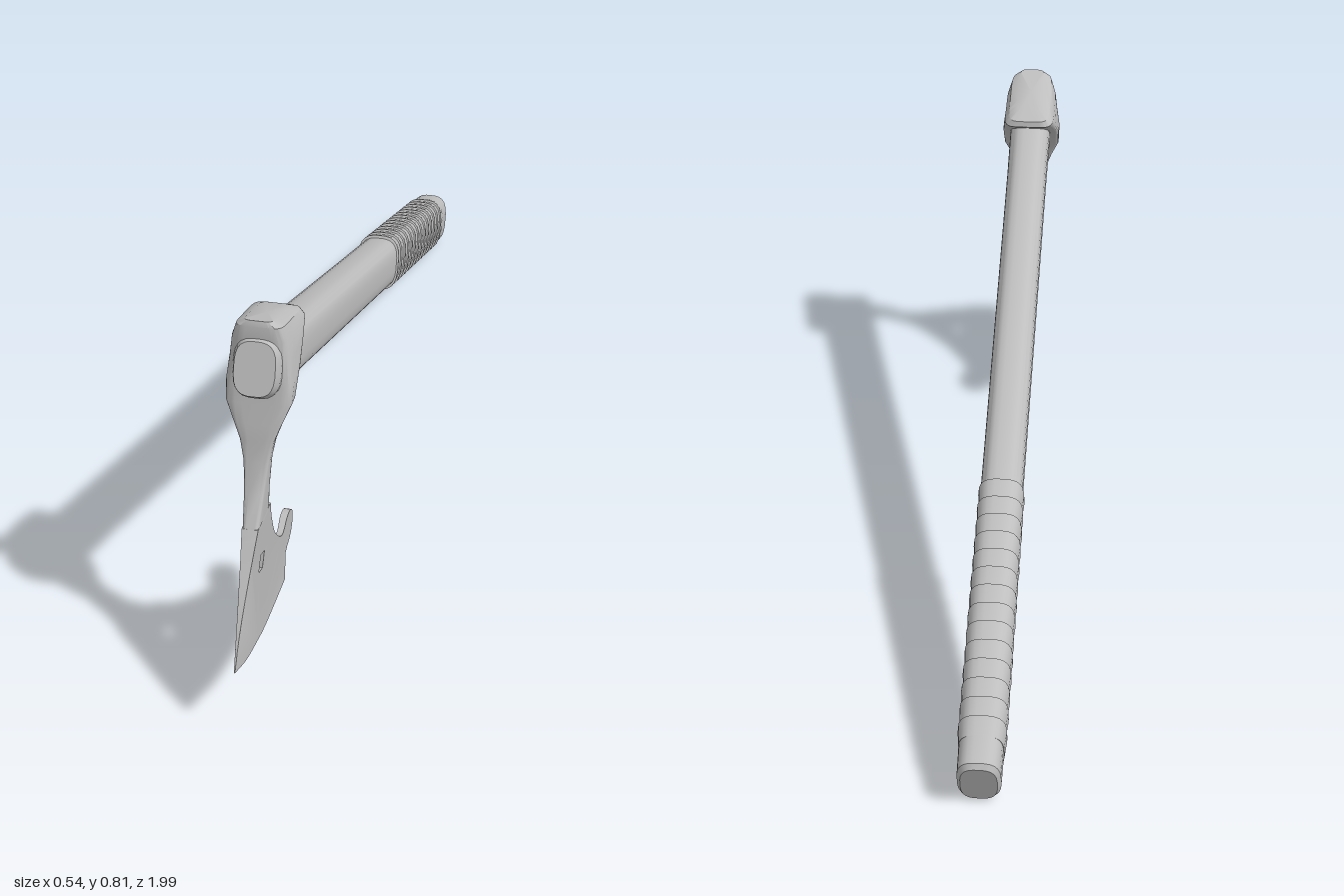
import * as THREE from 'three';
import { toCreasedNormals } from 'three/addons/utils/BufferGeometryUtils.js';

const YAW = -0.244;               // the axe is turned a little about the vertical
const PITCH = -0.349;             // the handle slopes down to the back
const K = 1 / Math.cos(YAW);      // side profile depth -> length along the turned axe

const steel = new THREE.MeshStandardMaterial({ color: 0xbebebe });
steel.name = 'plainGrey';

// Unit rounded-rectangle loop
function roundedLoop(n, power) {
  const bend = (v) => Math.sign(v) * Math.pow(Math.abs(v), 2 / power);
  return Array.from({ length: n }, (_, j) => {
    const a = ((j + 0.5) / n) * Math.PI * 2;
    return [bend(Math.cos(a)), bend(Math.sin(a))];
  });
}

// Skin a list of equal-sized loops and close both ends
function loft(rings, crease = 0.6) {
  const n = rings[0].length, pos = [], index = [];
  const add = (p) => pos.push(p.x, p.y, p.z) / 3 - 1;
  rings.forEach((r) => r.forEach(add));
  for (let i = 0; i < rings.length - 1; i++) {
    for (let j = 0; j < n; j++) {
      const k = (j + 1) % n, a = i * n + j, b = i * n + k;
      index.push(a, b, b + n, a, b + n, a + n);
    }
  }
  const centre = (r) => r.reduce((s, p) => s.add(p), new THREE.Vector3()).divideScalar(n);
  const last = (rings.length - 1) * n;
  const c0 = add(centre(rings[0])), c1 = add(centre(rings[rings.length - 1]));
  for (let j = 0; j < n; j++) {
    const k = (j + 1) % n;
    index.push(c0, k, j, c1, last + j, last + k);
  }
  const g = new THREE.BufferGeometry();
  g.setAttribute('position', new THREE.Float32BufferAttribute(pos, 3));
  g.setIndex(index);
  return toCreasedNormals(g, crease);
}

function part(name, geometry, parent) {
  const m = new THREE.Mesh(geometry, steel);
  m.name = name;
  parent.add(m);
  return m;
}

// Handle sections: [distance along axis, half width, half height]
const gripLoop = roundedLoop(24, 3);
const bar = (sections) => loft(sections.map(([s, w, h]) =>
  gripLoop.map(([x, y]) => new THREE.Vector3(x * w, y * h, s))));

function buildHandle() {
  const handle = new THREE.Group();
  handle.name = 'handle';
  part('shaft', bar([
    [-1.064, 0.037, 0.052], [-1.054, 0.044, 0.061], [-0.98, 0.045, 0.06],
    [-0.3, 0.045, 0.058], [0.6, 0.046, 0.058], [0.855, 0.048, 0.062], [0.878, 0.041, 0.054],
  ]), handle);

  // Overlapping turns of the grip wrap
  const turns = 14, start = -0.99, step = 0.0456;
  for (let i = 0; i < turns; i++) {
    const s = start + i * step;
    part('gripWrap', bar([
      [s, 0.046, 0.06], [s + step * 0.8, 0.049, 0.0645],
      [s + step * 0.97, 0.049, 0.0645], [s + step, 0.046, 0.06],
    ]), handle);
  }
  handle.position.y = 0.42;
  handle.rotation.x = PITCH;
  return handle;
}

// Collar and neck rows: front z, front y, back z, back y, half thickness
const headRows = [
  [0.770, 0.809, 0.625, 0.762, 0.030],
  [0.774, 0.798, 0.603, 0.748, 0.048],
  [0.772, 0.765, 0.601, 0.735, 0.058],
  [0.775, 0.720, 0.632, 0.718, 0.062],
  [0.780, 0.670, 0.692, 0.680, 0.067],
  [0.786, 0.630, 0.732, 0.630, 0.065],
  [0.795, 0.590, 0.754, 0.590, 0.048],
  [0.801, 0.555, 0.764, 0.550, 0.034],
  [0.807, 0.510, 0.770, 0.510, 0.026],
  [0.830, 0.450, 0.775, 0.440, 0.021],
  [0.861, 0.390, 0.767, 0.390, 0.0175],
];

function buildCollar() {
  const loop = roundedLoop(28, 6);
  return loft(headRows.map(([fz, fy, bz, by, h]) => loop.map(([x, t]) => {
    const k = (t + 1) / 2;
    return new THREE.Vector3(x * h, by + (fy - by) * k, (bz + (fz - bz) * k) * K);
  })));
}

// Bearded blade with a hook knob and a small diamond hole, thinned to the edge
function buildBlade() {
  const shape = new THREE.Shape();
  shape.moveTo(0.767, 0.39);
  shape.lineTo(0.861, 0.39);
  shape.splineThru([[0.895, 0.335], [0.93, 0.28], [0.968, 0.215], [1.0, 0.148]]
    .map(([x, y]) => new THREE.Vector2(x, y)));
  shape.splineThru([[0.914, 0.112], [0.83, 0.092], [0.754, 0.08], [0.6, 0.073]]
    .map(([x, y]) => new THREE.Vector2(x, y)));
  shape.lineTo(0.6, 0.139);
  shape.lineTo(0.585, 0.148);
  shape.absarc(0.586, 0.191, 0.042, -Math.PI / 2, -Math.PI * 1.75, true);
  shape.splineThru([[0.635, 0.215], [0.663, 0.23], [0.711, 0.278], [0.75, 0.345], [0.767, 0.39]]
    .map(([x, y]) => new THREE.Vector2(x, y)));

  const hole = new THREE.Path();
  [[0.832, 0.265], [0.822, 0.302], [0.794, 0.292], [0.803, 0.256]].forEach(([x, y], i) =>
    (i ? hole.lineTo(x, y) : hole.moveTo(x, y)));
  hole.closePath();
  shape.holes.push(hole);

  const g = new THREE.ExtrudeGeometry(shape, { depth: 1, bevelEnabled: false, curveSegments: 10 });
  const p = g.attributes.position;
  for (let i = 0; i < p.count; i++) {
    const z = p.getX(i), y = p.getY(i);
    const edge = 0.072 + 0.075 * ((z - 0.6) / 0.4) ** 2;
    const d = Math.min(1, Math.max(0, (y - edge) / 0.3));
    const half = 0.0012 + 0.0165 * Math.pow(d, 1.5);
    p.setXYZ(i, -(p.getZ(i) - 0.5) * 2 * half, y, z * K);
  }
  g.deleteAttribute('uv');
  return toCreasedNormals(g, 0.5);
}

export function createModel() {
  const axe = new THREE.Group();
  axe.name = 'axe';
  const body = new THREE.Group();
  body.name = 'axeBody';
  body.add(buildHandle());

  const head = new THREE.Group();
  head.name = 'axeHead';
  part('collarAndNeck', buildCollar(), head);
  part('blade', buildBlade(), head);
  body.add(head);

  body.rotation.y = YAW;
  body.position.x = -0.012;
  axe.add(body);
  return axe;
}
